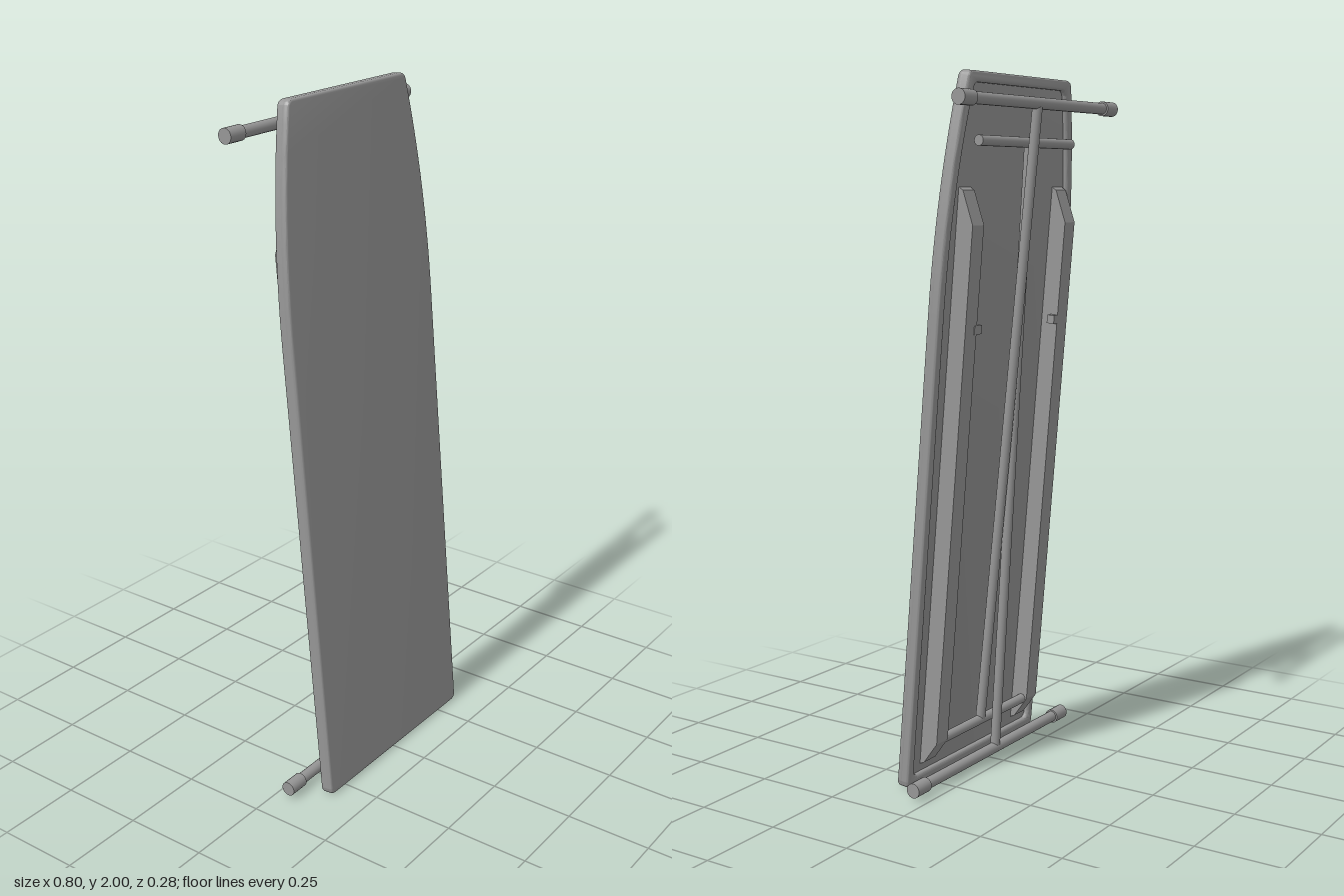
import * as THREE from 'three';
import { toCreasedNormals } from 'three/addons/utils/BufferGeometryUtils.js';

const material = new THREE.MeshStandardMaterial({ color: 0x969696 });

function addMesh(parent, name, geometry) {
  const mesh = new THREE.Mesh(geometry, material);
  mesh.name = name;
  parent.add(mesh);
  return mesh;
}

// Round bar between two points
function addBar(parent, name, from, to, radius) {
  const a = new THREE.Vector3(...from), b = new THREE.Vector3(...to);
  const dir = b.clone().sub(a);
  const bar = addMesh(parent, name, new THREE.CylinderGeometry(radius, radius, dir.length(), 24));
  bar.position.copy(a).add(b).multiplyScalar(0.5);
  bar.quaternion.setFromUnitVectors(new THREE.Vector3(0, 1, 0), dir.normalize());
}

// Board outline: straight sides that curve in towards a flat top
function outline(shape, inset) {
  const w = 0.334 - inset, t = 0.268 - inset, top = 2.004 - inset, r = 0.022;
  shape.moveTo(-w + r, inset);
  shape.lineTo(w - r, inset);
  shape.quadraticCurveTo(w, inset, w, inset + r);
  shape.lineTo(w, 1.36);
  shape.quadraticCurveTo(w, 1.68, t, top - r);
  shape.quadraticCurveTo(t - 0.004, top, t - 0.025, top);
  shape.lineTo(-t + 0.025, top);
  shape.quadraticCurveTo(-t + 0.004, top, -t, top - r);
  shape.quadraticCurveTo(-w, 1.68, -w, 1.36);
  shape.lineTo(-w, inset + r);
  shape.quadraticCurveTo(-w, inset, -w + r, inset);
  return shape;
}

// Slab with rounded edges between two z levels
function roundedSlab(shape, back, front) {
  const bevel = 0.008;
  const slab = new THREE.ExtrudeGeometry(shape, {
    depth: front - back - 2 * bevel, bevelThickness: bevel, bevelSize: bevel,
    bevelOffset: -bevel, bevelSegments: 4, curveSegments: 16
  });
  slab.translate(0, 0, back + bevel);
  return toCreasedNormals(slab, 0.7);
}

export function createModel() {
  const model = new THREE.Group();
  model.name = 'foldedIroningBoard';

  // Leaning board with everything fixed to its underside
  const board = new THREE.Group();
  board.name = 'board';
  board.position.set(0.009, 0.0015, 0.122);
  board.rotation.x = -0.0878;
  model.add(board);

  // Top panel, and a rim that stands out around its underside
  addMesh(board, 'topPanel', roundedSlab(outline(new THREE.Shape(), 0), -0.004, 0.0205));
  const rimShape = outline(new THREE.Shape(), 0);
  rimShape.holes.push(outline(new THREE.Path(), 0.03));
  addMesh(board, 'rim', roundedSlab(rimShape, -0.018, 0.0165));

  // Side rails with sloping ends, each with a small catch
  const profile = new THREE.Shape([
    [0, 0.05], [0, 1.7], [-0.018, 1.69], [-0.057, 1.6], [-0.057, 0.125], [-0.018, 0.06]
  ].map(([z, y]) => new THREE.Vector2(z, y)));
  const railGeometry = new THREE.ExtrudeGeometry(profile, { depth: 0.055, bevelEnabled: false });
  railGeometry.translate(0, 0, -0.0275);
  railGeometry.rotateY(-Math.PI / 2);
  for (const side of [1, -1]) {
    const prefix = side > 0 ? 'left' : 'right';
    addMesh(board, prefix + 'Rail', railGeometry).position.x = side * 0.241 - 0.009;
    const tab = addMesh(board, prefix + 'Catch', new THREE.BoxGeometry(0.035, 0.025, 0.024));
    tab.position.set(side * 0.209 - 0.009, 1.315, -0.047);
  }

  // Two crossing legs, each with a long foot bar and a short pivot bar
  const legs = [
    { name: 'innerLeg', x: -0.015, foot: [0.03, 0.041], pivot: [1.815, -0.076] },
    { name: 'outerLeg', x: 0.016, foot: [1.92, -0.122], pivot: [0.12, 0.073] }
  ];
  for (const { name, x, foot, pivot } of legs) {
    const leg = new THREE.Group();
    leg.name = name;
    model.add(leg);
    addBar(leg, 'post', [x, ...foot], [x, ...pivot], 0.0145);
    addBar(leg, 'pivotBar', [-0.24, ...pivot], [0.24, ...pivot], 0.0145);
    addBar(leg, 'footBar', [-0.36, ...foot], [0.36, ...foot], 0.0165);
    for (const side of [1, -1]) {
      addBar(leg, side > 0 ? 'leftFootCap' : 'rightFootCap',
        [side * 0.342, ...foot], [side * 0.402, ...foot], 0.0212);
    }
  }
  return model;
}
